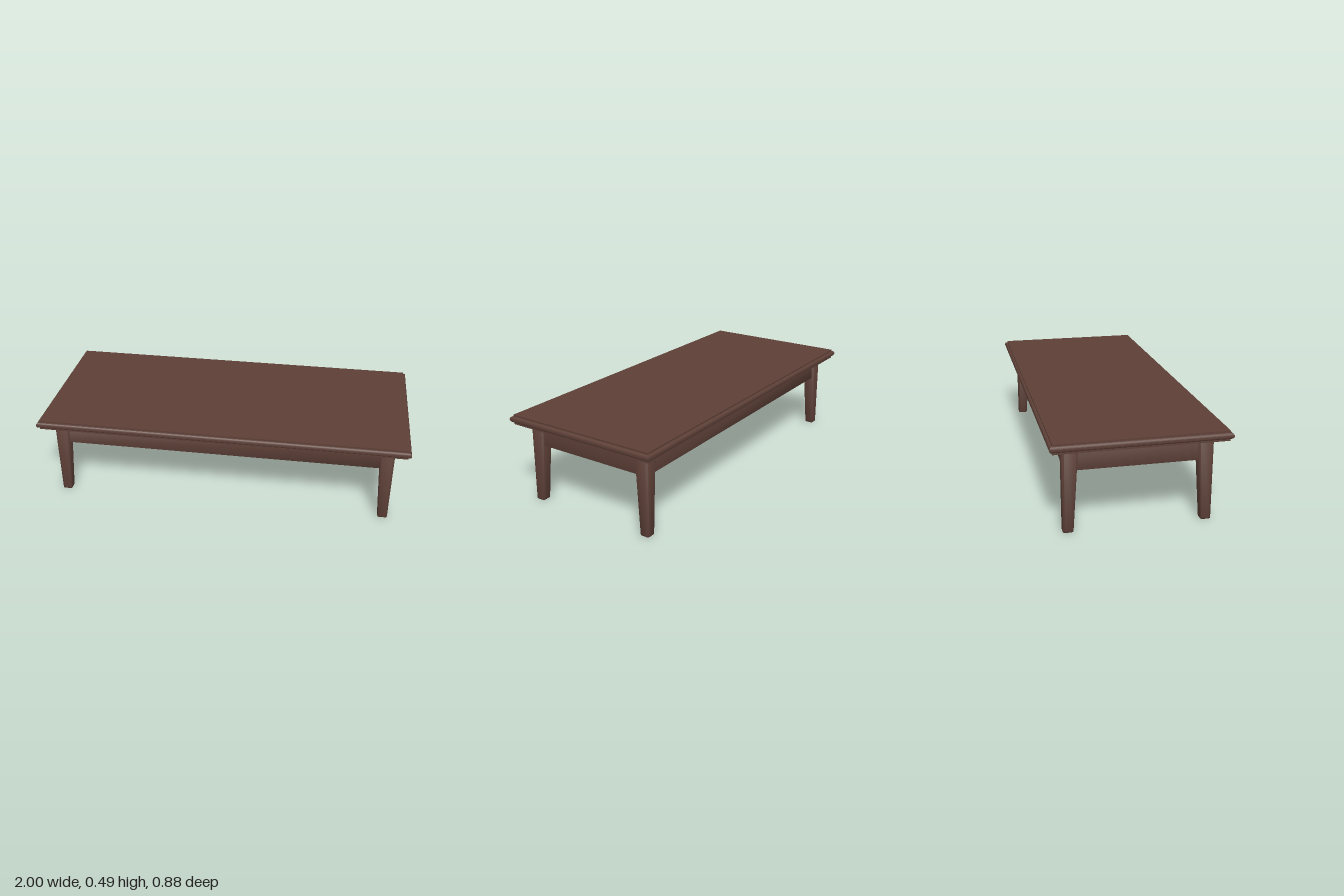
import * as THREE from 'three';
import { mergeVertices, toCreasedNormals } from 'three/addons/utils/BufferGeometryUtils.js';

const LEG_H = 0.426, LEG_TOP = 0.08, LEG_FOOT = 0.053;

// Box whose normals are averaged at the corners for a soft look
function softBox(w, h, d) {
  const box = new THREE.BoxGeometry(w, h, d);
  box.deleteAttribute('normal');
  box.deleteAttribute('uv');
  const geo = mergeVertices(box);
  geo.computeVertexNormals();
  return geo;
}

// Rounded square post, tapering towards its outer corner at the origin
function legGeometry() {
  const w = LEG_TOP, r = 0.018, b = 0.006;
  const s = new THREE.Shape();
  s.absarc(-r, r, r, -Math.PI / 2, 0);
  s.absarc(-r, w - r, r, 0, Math.PI / 2);
  s.absarc(-w + r, w - r, r, Math.PI / 2, Math.PI);
  s.absarc(-w + r, r, r, Math.PI, Math.PI * 1.5);
  const geo = new THREE.ExtrudeGeometry(s, {
    depth: LEG_H - 2 * b, curveSegments: 5,
    bevelThickness: b, bevelSize: b, bevelOffset: -b, bevelSegments: 2,
  });
  geo.rotateX(-Math.PI / 2).translate(0, b, 0);
  const p = geo.attributes.position;
  for (let i = 0; i < p.count; i++) {
    const k = THREE.MathUtils.lerp(LEG_FOOT / LEG_TOP, 1, p.getY(i) / LEG_H);
    p.setX(i, p.getX(i) * k);
    p.setZ(i, p.getZ(i) * k);
  }
  return toCreasedNormals(geo, 0.9);
}

// Half-round moulding running around the edge of the top
function beadGeometry(w, d, r) {
  const s = new THREE.Shape();
  s.moveTo(-w / 2, -d / 2);
  s.lineTo(w / 2, -d / 2);
  s.lineTo(w / 2, d / 2);
  s.lineTo(-w / 2, d / 2);
  s.closePath();
  const geo = new THREE.ExtrudeGeometry(s, {
    depth: 0.002, bevelThickness: r, bevelSize: r, bevelSegments: 6,
  });
  geo.rotateX(-Math.PI / 2).translate(0, -0.001, 0);
  return toCreasedNormals(geo, 0.7);
}

export function createModel() {
  const table = new THREE.Group();
  table.name = 'coffeeTable';
  const wood = new THREE.MeshStandardMaterial({ color: 0x5d4037 });
  wood.name = 'darkWood';
  const add = (name, geo, x, y, z) => {
    const mesh = new THREE.Mesh(geo, wood);
    mesh.name = name;
    mesh.position.set(x, y, z);
    table.add(mesh);
    return mesh;
  };

  // Table top with its moulded edge
  add('tableTop', new THREE.BoxGeometry(1.97, 0.052, 0.85), 0, 0.459, 0);
  add('edgeBead', beadGeometry(1.97, 0.85, 0.015), 0, 0.46, 0);

  // Four tapered legs, each turned so its straight sides face outwards
  const leg = legGeometry();
  const corners = [
    ['frontLeftLeg', 1, 1, 0], ['backLeftLeg', 1, -1, Math.PI / 2],
    ['backRightLeg', -1, -1, Math.PI], ['frontRightLeg', -1, 1, -Math.PI / 2],
  ];
  for (const [name, sx, sz, turn] of corners) {
    add(name, leg, sx * 0.925, 0, sz * 0.372).rotation.y = turn;
  }

  // Aprons between the legs
  const longApron = softBox(1.76, 0.11, 0.026);
  const shortApron = softBox(0.026, 0.11, 0.66);
  for (const s of [1, -1]) {
    add(s > 0 ? 'frontApron' : 'backApron', longApron, 0, 0.371, s * 0.343);
    add(s > 0 ? 'leftApron' : 'rightApron', shortApron, s * 0.896, 0.371, 0);
  }
  return table;
}
